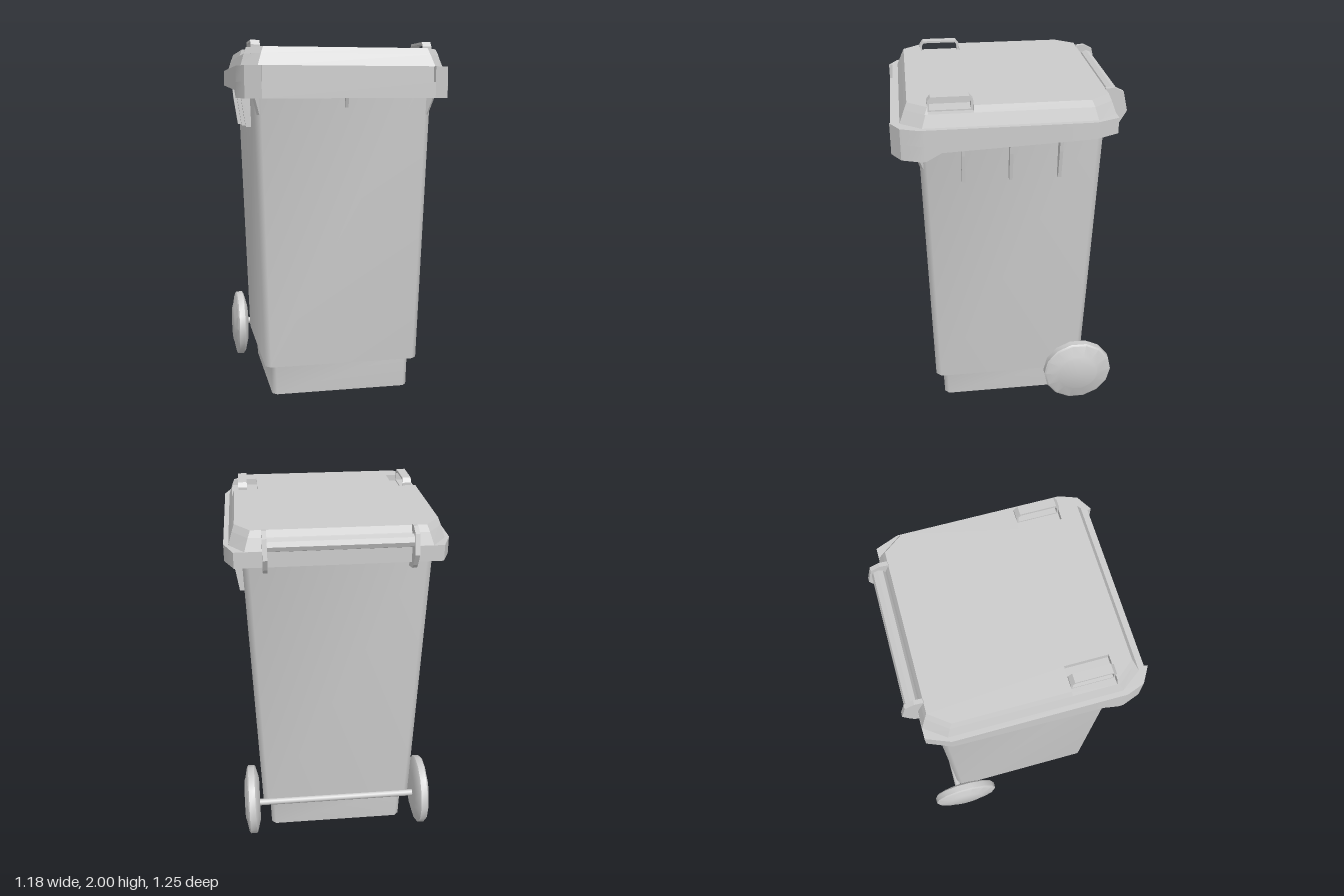
import * as THREE from 'three';
import { toCreasedNormals } from 'three/addons/utils/BufferGeometryUtils.js';

const material = new THREE.MeshStandardMaterial({ color: 0xcccccc });

function add(parent, name, geometry) {
  const mesh = new THREE.Mesh(geometry, material);
  mesh.name = name;
  parent.add(mesh);
  return mesh;
}

// Closed outline of [x, z] points from its +x half, listed front to back.
const mirror = (half) => [...half, ...half.map(([x, z]) => [-x, z]).reverse()];

// Rectangle with cut corners.
const cutRect = (hx, front, back, cx, cz = cx) =>
  mirror([[hx - cx, front], [hx, front - cz], [hx, back + cz], [hx - cx, back]]);

// Put an outline at a height; y may be a number or a function of z.
const ring = (outline, y) =>
  outline.map(([x, z]) => new THREE.Vector3(x, typeof y === 'function' ? y(z) : y, z));

// Skin a stack of rings from bottom to top and cap the ends.
function loft(rings, { bottom = true, crease = 0.4 } = {}) {
  const n = rings[0].length;
  const index = [];
  for (let r = 0; r < rings.length - 1; r++) {
    for (let i = 0; i < n; i++) {
      const a = r * n + i, b = r * n + (i + 1) % n;
      index.push(a, b, b + n, a, b + n, a + n);
    }
  }
  const cap = (r, flip) => {
    const contour = rings[r].map((p) => new THREE.Vector2(p.x, -p.z));
    for (const [a, b, c] of THREE.ShapeUtils.triangulateShape(contour, [])) {
      index.push(r * n + a, r * n + (flip ? c : b), r * n + (flip ? b : c));
    }
  };
  cap(rings.length - 1, false);
  if (bottom) cap(0, true);
  const geometry = new THREE.BufferGeometry().setFromPoints(rings.flat());
  geometry.setIndex(index);
  return toCreasedNormals(geometry, crease);
}

// Flat upright plate: profile of [distance, y] points, turned about the y axis.
function plate(points, thickness, angle, x = 0, z = 0, hole) {
  const shape = new THREE.Shape(points.map((p) => new THREE.Vector2(...p)));
  if (hole) shape.holes.push(new THREE.Path(hole.map((p) => new THREE.Vector2(...p))));
  return new THREE.ExtrudeGeometry(shape, { depth: thickness, bevelEnabled: false })
    .translate(0, 0, -thickness / 2).rotateY(angle).translate(x, 0, z);
}

export function createModel() {
  const model = new THREE.Group();
  model.name = 'wheeledBin';

  // Tapered body on a narrower foot
  add(model, 'body', loft([
    ring(cutRect(0.445, 0.45, -0.44, 0.03), 0.18),
    ring(cutRect(0.5, 0.487, -0.487, 0.035), 1.82),
  ], { crease: 0.9 }));
  add(model, 'foot', loft([
    ring(cutRect(0.4, 0.4, -0.4, 0.025), 0),
    ring(cutRect(0.405, 0.405, -0.405, 0.025), 0.19),
  ], { crease: 0.9 }));

  // Ribs below the rim: three on each side, one in front, one on each front corner
  const sideRib = [[0.46, 1.53], [0.52, 1.53], [0.545, 1.69], [0.555, 1.79], [0.46, 1.79]];
  for (const z of [0.26, 0.01, -0.25]) {
    add(model, 'leftRib', plate(sideRib, 0.018, 0, 0, z));
    add(model, 'rightRib', plate(sideRib, 0.018, Math.PI, 0, z));
  }
  const frontRib = [[0.46, 1.64], [0.49, 1.64], [0.515, 1.71], [0.46, 1.71]];
  add(model, 'frontRib', plate(frontRib, 0.018, -Math.PI / 2, 0.01));
  const cornerRib = [[0.6, 1.6], [0.67, 1.6], [0.715, 1.71], [0.6, 1.71]];
  for (const angle of [-Math.PI / 4, -Math.PI * 0.75]) {
    add(model, 'cornerRib', plate(cornerRib, 0.018, angle));
  }

  // Lid rim: the lower edge rises to the back, the front has a ledge
  const lid = new THREE.Group();
  lid.name = 'lid';
  model.add(lid);
  const sides = [[0.555, 0.575], [0.59, 0.48], [0.59, 0.45], [0.59, 0.37], [0.59, -0.42], [0.54, -0.545]];
  const rim = mirror([[0.47, 0.625], ...sides]);
  const lowerEdge = (z) => z >= 0.45 ? 1.69
    : z >= 0.37 ? 1.69 + (0.45 - z) * 0.56
    : 1.735 + (0.37 - z) * 0.043;
  const inner = ring(rim, lowerEdge).map((p) => p.set(p.x * 0.75, p.y, p.z * 0.75));
  add(lid, 'lowerRim', loft([inner, ring(rim, lowerEdge), ring(rim, 1.776)], { bottom: false }));
  const ledgeRim = mirror([[0.465, 0.605], [0.47, 0.625], ...sides]);
  add(lid, 'upperRim', loft([ring(ledgeRim, 1.775), ring(ledgeRim, 1.86)], { bottom: false }));

  // Bevelled lid top, with a notch for a handle on each side
  const middle = 1.925;
  add(lid, 'lidBase', loft([
    ring(cutRect(0.565, 0.575, -0.545, 0.08, 0.11), 1.855),
    ring(cutRect(0.543, 0.547, -0.52, 0.08, 0.105), middle),
  ]));
  const notched = (hx, front, back) => mirror([
    [hx - 0.08, front], [hx, front - 0.1], [hx, 0.43], [0.395, 0.43],
    [0.395, 0.2], [hx, 0.2], [hx, back + 0.105], [hx - 0.08, back],
  ]);
  add(lid, 'lidTop', loft([
    ring(notched(0.543, 0.547, -0.52), middle),
    ring(notched(0.53, 0.532, -0.505), 1.96),
  ], { bottom: false }));

  // Wheels, lid handles and hinge arms, one of each per side
  const wheelProfile = [[0, 0.045], [0.115, 0.045], [0.125, 0.04], [0.195, 0.026], [0.205, 0.018],
    [0.205, -0.018], [0.195, -0.026], [0.125, -0.045], [0, -0.045]]
    .reverse().map((p) => new THREE.Vector2(...p));
  const bridge = [[0.2, 1.92], [0.434, 1.92], [0.434, 1.975], [0.415, 2], [0.22, 2], [0.2, 1.975]];
  const opening = [[0.212, 1.932], [0.212, 1.972], [0.225, 1.988], [0.41, 1.988], [0.422, 1.972], [0.422, 1.932]];
  const armProfile = [[-0.48, 1.73], [-0.565, 1.75], [-0.588, 1.775], [-0.625, 1.84],
    [-0.6, 1.945], [-0.55, 1.97], [-0.505, 1.965], [-0.48, 1.9]];
  for (const [side, s] of [['left', 1], ['right', -1]]) {
    const wheel = add(model, side + 'Wheel',
      toCreasedNormals(new THREE.LatheGeometry(wheelProfile, 14), 0.5));
    wheel.rotation.z = -s * Math.PI / 2;
    wheel.position.set(s * 0.513, 0.207, -0.407);
    add(lid, side + 'Handle', plate(bridge, 0.05, -Math.PI / 2, s * 0.48, 0, opening));
    add(lid, side + 'HingeArm', plate(armProfile, 0.024, -Math.PI / 2, s * 0.383));
  }

  // Axle along the lower back edge and grab bar between the hinge arms
  const axle = add(model, 'axle', new THREE.CylinderGeometry(0.02, 0.02, 0.98, 8));
  axle.rotation.z = Math.PI / 2;
  axle.position.set(0, 0.207, -0.443);
  const bar = add(lid, 'grabBar',
    toCreasedNormals(new THREE.CylinderGeometry(0.036, 0.036, 0.76, 8), 0.4));
  bar.rotation.z = Math.PI / 2;
  bar.position.set(0, 1.9, -0.565);

  return model;
}
